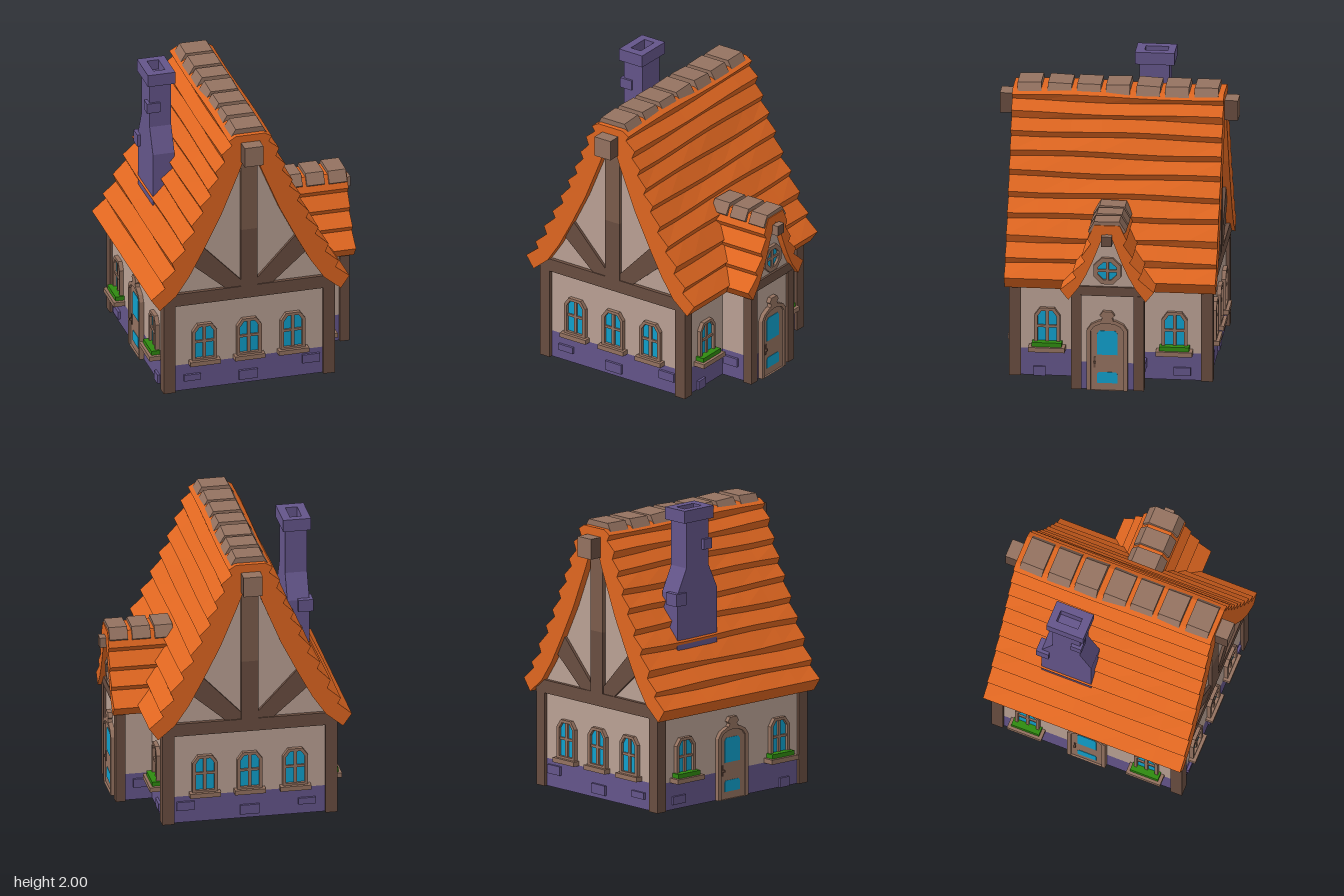
import * as THREE from 'three';

const mat = (name, color) => {
  const m = new THREE.MeshStandardMaterial({ color });
  m.name = name;
  return m;
};

export function createModel() {
  const plaster = mat('plaster', 0xbaa194), stone = mat('purple stone', 0x64558a);
  const dark = mat('dark timber', 0x694d40), mid = mat('mid timber', 0x7b5c4b);
  const wood = mat('light wood', 0x947260), tile = mat('orange tile', 0xdf6620);
  const glass = mat('blue glass', 0x10a0cc), leaf = mat('green leaves', 0x2f8a10);
  const CX = -0.105; // ridge line of the main house

  const house = new THREE.Group();
  house.name = 'cottage';

  // ---------- helpers ----------
  const group = (name, parent = house) => {
    const g = new THREE.Group();
    g.name = name;
    parent.add(g);
    return g;
  };
  const add = (name, geo, m, parent = house) => {
    const mesh = new THREE.Mesh(geo, m);
    mesh.name = name;
    parent.add(mesh);
    return mesh;
  };
  // box given by its limits on each axis
  const box = (name, [x0, x1], [y0, y1], [z0, z1], m, parent) => {
    const b = add(name, new THREE.BoxGeometry(x1 - x0, y1 - y0, z1 - z0), m, parent);
    b.position.set((x0 + x1) / 2, (y0 + y1) / 2, (z0 + z1) / 2);
    return b;
  };
  const poly = pts => new THREE.Shape(pts.map(p => new THREE.Vector2(p[0], p[1])));
  const extrude = (shape, depth, steps = 1) =>
    new THREE.ExtrudeGeometry(shape, { depth, steps, bevelEnabled: false, curveSegments: 6 });
  const mirror = half => [...half, ...half.slice().reverse().map(([x, y]) => [-x, y])];
  const rect = (x0, x1, y0, y1) => [[x0, y0], [x1, y0], [x1, y1], [x0, y1]];
  // hollow rectangular wall ring, open above and below
  const ring = (name, x0, x1, zHalf, y0, y1, t, m, parent) => {
    const s = poly(rect(x0, x1, -zHalf, zHalf));
    s.holes.push(poly(rect(x0 + t, x1 - t, -zHalf + t, zHalf - t)));
    const w = add(name, extrude(s, y1 - y0).rotateX(-Math.PI / 2), m, parent);
    w.position.y = y0;
  };
  // stepped roof section: tips of the tile courses outside, smooth curve inside
  const roofShape = (tips, top, inner, dx, dy) => {
    const half = [inner[0], tips[0]];
    tips.slice(1).forEach(([d, y]) => half.push([d - dx, y - dy], [d, y]));
    half.push(top);
    const curve = inner.slice(1);
    return poly([...mirror(half), ...curve.map(([x, y]) => [-x, y]),
      ...curve.slice(0, -1).reverse()]);
  };

  // ---------- walls ----------
  const walls = group('walls');
  ring('stoneBase', -0.68, 0.47, 0.66, 0, 0.19, 0.03, stone, walls);
  ring('plasterWall', -0.68, 0.47, 0.66, 0.19, 0.7, 0.03, plaster, walls);
  ring('porchBase', 0.45, 0.705, 0.225, 0, 0.19, 0.02, stone, walls);
  ring('porchWall', 0.45, 0.705, 0.225, 0.19, 0.7, 0.02, plaster, walls);
  box('ceiling', [-0.66, 0.45], [0.645, 0.66], [-0.64, 0.64], dark, walls);

  // ---------- timber frame ----------
  const frame = group('timberFrame');
  for (const z of [-1, 1]) {
    const zr = [Math.min(z * 0.605, z * 0.685), Math.max(z * 0.605, z * 0.685)];
    box('cornerPost', [-0.7, -0.62], [0, 0.66], zr, dark, frame);
    box('cornerPost', [0.41, 0.49], [0, 0.66], zr, dark, frame);
    const pz = [Math.min(z * 0.175, z * 0.245), Math.max(z * 0.175, z * 0.245)];
    box('porchPost', [0.655, 0.722], [0, 0.67], pz, dark, frame);
  }
  box('porchBeam', [0.66, 0.72], [0.665, 0.73], [-0.24, 0.24], dark, frame);

  // ---------- main roof ----------
  const inner = [[0.63, 0.635], [0.515, 0.73], [0.42, 0.875], [0.325, 1.04], [0.205, 1.29],
    [0.085, 1.58], [0.04, 1.69], [0, 1.72]];
  const tips = [[0.69, 0.72], [0.615, 0.845], [0.545, 0.97], [0.475, 1.11], [0.41, 1.24],
    [0.35, 1.365], [0.295, 1.49], [0.245, 1.615], [0.2, 1.73], [0.15, 1.835]];
  const roofGeo = extrude(roofShape(tips, [0.1, 1.865], inner, 0.022, 0.045), 1.42, 7);
  roofGeo.translate(CX, 0, -0.71);
  // gentle sag along every course, none at the eaves
  const p = roofGeo.attributes.position;
  for (let i = 0; i < p.count; i++) {
    const y = p.getY(i), z = p.getZ(i);
    if (y > 0.78) p.setY(i, y + 0.007 * Math.sin(z * 5 + Math.round(y * 8) * 2.1));
  }
  roofGeo.computeVertexNormals();
  add('mainRoof', roofGeo, tile);

  // ---------- gables: plaster, beam, post and braces, front and back ----------
  for (const s of [0, 1]) {
    const g = group(s ? 'backGable' : 'frontGable');
    g.position.x = CX;
    g.rotation.y = s * Math.PI;
    const wide = inner.slice(1).map(([d, y]) => [d ? d + 0.02 : 0, y]);
    add('gablePlaster', extrude(poly([[-0.55, 0.66], [0.55, 0.66], ...wide,
      ...wide.slice(0, -1).reverse().map(([x, y]) => [-x, y])]), 0.03), plaster, g).position.z = 0.63;
    box('tieBeam', [-0.595, 0.595], [0.64, 0.73], [0.62, 0.687], dark, g);
    box('lowerKingPost', [-0.058, 0.058], [0.73, 1.15], [0.64, 0.687], dark, g);
    box('upperKingPost', [-0.058, 0.058], [1.15, 1.69], [0.64, 0.687], mid, g);
    for (const m of [-1, 1]) {
      const pts = [[0.325, 1.06], [0.39, 0.925], [0.165, 0.73], [0.055, 0.73], [0.055, 0.775]];
      add('brace', extrude(poly(pts.map(([x, y]) => [x * m, y])), 0.04), dark, g).position.z = 0.64;
    }
  }
  box('ridgeBeam', [CX - 0.065, CX + 0.065], [1.67, 1.81], [-0.8, 0.8],
    [dark, dark, wood, dark, wood, wood]);

  // ---------- ridge caps ----------
  const capGeo = (w, t, h, len) => extrude(poly([[w - 0.03, 0], [w, 0.025], [t, h], [-t, h],
    [-w, 0.025], [-w + 0.03, 0]]), len).translate(0, 0, -len / 2);
  const caps = group('ridgeCaps');
  for (let i = -3; i <= 3; i++) {
    const c = add('ridgeCap', capGeo(0.138, 0.093, 0.1, 0.16), wood, caps);
    c.position.set(CX, 1.803, i * 0.198);
    c.rotation.set(0.05 * Math.sin(i * 2.3 + 1), 0.04 * Math.sin(i * 3.1), 0);
  }

  // ---------- porch roof ----------
  const pInner = [[0.26, 0.64], [0.19, 0.73], [0.14, 0.82], [0.095, 0.92], [0.03, 1.09], [0, 1.12]];
  const pTips = [[0.315, 0.71], [0.232, 0.835], [0.172, 0.95], [0.132, 1.075]];
  const pRoof = extrude(roofShape(pTips, [0.085, 1.175], pInner, 0.022, 0.035), 1);
  pRoof.rotateY(Math.PI / 2);
  // back end slants to follow the main slope
  const q = pRoof.attributes.position;
  for (let i = 0; i < q.count; i++)
    q.setX(i, q.getX(i) > 0.5 ? 0.747 : 0.28 + (1.175 - q.getY(i)) * 0.44);
  pRoof.computeVertexNormals();
  add('porchRoof', pRoof, tile);
  const pg = group('porchGable');
  pg.rotation.y = Math.PI / 2;
  const pWide = pInner.slice(1).map(([d, y]) => [d ? d + 0.015 : 0, y]);
  add('porchGablePlaster', extrude(poly([[-0.21, 0.68], [0.21, 0.68], ...pWide,
    ...pWide.slice(0, -1).reverse().map(([x, y]) => [-x, y])]), 0.03), plaster, pg).position.z = 0.675;
  box('porchRidgeBeam', [0.5, 0.79], [1.04, 1.11], [-0.035, 0.035],
    [dark, dark, wood, dark, wood, wood]);
  [0.368, 0.522, 0.677].forEach((x, i) => {
    const c = add('porchRidgeCap', capGeo(0.128, 0.085, 0.098, 0.125), wood, caps);
    c.position.set(x, 1.103, 0);
    c.rotation.set(0, Math.PI / 2, 0.03 * (i - 1));
  });

  // octagonal gable window
  const oct = r => poly(Array.from({ length: 8 }, (_, i) => {
    const a = (i + 0.5) * Math.PI / 4;
    return [r * Math.cos(a), r * Math.sin(a)];
  }));
  const rw = group('roundWindow', pg);
  rw.position.set(0, 0.845, 0.7);
  const octFrame = oct(0.1);
  octFrame.holes.push(oct(0.068));
  add('roundFrame', extrude(octFrame, 0.028), wood, rw);
  add('roundGlass', extrude(oct(0.072), 0.004), glass, rw).position.z = 0.006;
  box('mullion', [-0.009, 0.009], [-0.068, 0.068], [0.005, 0.02], wood, rw);
  box('mullion', [-0.068, 0.068], [-0.009, 0.009], [0.005, 0.02], wood, rw);

  // ---------- windows and doors, built facing +z then turned onto a wall ----------
  const place = (g, x, z, a) => { g.position.set(x, 0, z); g.rotation.y = a; };
  const arched = (w, y0, y1, c) => poly([[-w, y0], [w, y0], [w, y1 - c * 1.4], [w - c, y1],
    [c - w, y1], [-w, y1 - c * 1.4]]);
  const makeWindow = (x, z, a, box_) => {
    const g = group('window');
    const f = arched(0.086, 0.215, 0.485, 0.037);
    f.holes.push(arched(0.064, 0.235, 0.465, 0.027));
    add('windowFrame', extrude(f, 0.028), wood, g);
    add('windowGlass', extrude(arched(0.066, 0.23, 0.467, 0.027), 0.004), glass, g).position.z = 0.004;
    box('mullion', [-0.011, 0.011], [0.235, 0.465], [0.003, 0.02], wood, g);
    box('mullion', [-0.064, 0.064], [0.346, 0.363], [0.003, 0.02], wood, g);
    const w = box_ ? 0.123 : 0.105;
    box('sill', [-w, w], [0.188, 0.22], [-0.005, box_ ? 0.08 : 0.05], wood, g);
    if (box_) box('flowerBox', [-0.1, 0.1], [0.22, 0.25], [0, 0.06], leaf, g);
    place(g, x, z, a);
  };
  for (const x of [-0.415, CX, 0.2]) {
    makeWindow(x, 0.66, 0, false);
    makeWindow(x, -0.66, Math.PI, false);
  }
  for (const z of [-0.428, 0.428]) {
    makeWindow(0.47, z, Math.PI / 2, true);
    makeWindow(-0.68, z, -Math.PI / 2, true);
  }

  const doorShape = (w, side, top) => {
    const s = new THREE.Shape();
    s.moveTo(-w, 0);
    s.lineTo(w, 0);
    s.lineTo(w, side);
    s.bezierCurveTo(w * 0.8, top, -w * 0.8, top, -w, side);
    return s;
  };
  const makeDoor = (x, a) => {
    const g = group('door');
    const f = doorShape(0.137, 0.425, 0.525);
    f.holes.push(doorShape(0.111, 0.42, 0.495));
    add('doorFrame', extrude(f, 0.03), wood, g);
    add('doorLeaf', extrude(doorShape(0.113, 0.42, 0.497), 0.016), wood, g);
    const pane = arched(0.068, 0.25, 0.42, 0.014);
    add('upperPane', extrude(pane, 0.005), glass, g).position.z = 0.014;
    add('lowerPane', extrude(arched(0.068, 0.05, 0.127, 0.01), 0.005), glass, g).position.z = 0.014;
    add('doorCrest', extrude(poly([[-0.045, 0.485], [0.045, 0.485], [0.033, 0.515], [0.05, 0.53],
      [0.03, 0.56], [-0.03, 0.56], [-0.05, 0.53], [-0.033, 0.515]]), 0.03), wood, g);
    box('handlePlate', [-0.092, -0.078], [0.16, 0.235], [0.014, 0.022], dark, g);
    box('handle', [-0.092, -0.078], [0.19, 0.204], [0.02, 0.035], dark, g);
    place(g, x, 0, a);
  };
  makeDoor(0.705, Math.PI / 2);
  makeDoor(-0.68, -Math.PI / 2);

  // ---------- raised stones on the base ----------
  const stones = group('raisedStones');
  const blocks = [[-0.497, 0.07, 0.115, 0.118], [-0.107, 0.03, 0.097, 0.132], [0.33, 0.092, 0.153, 0.122]];
  for (const s of [-1, 1]) {
    for (const [x, y0, y1, w] of blocks)
      box('stone', [x - w / 2, x + w / 2], [y0, y1], [s * 0.665 - 0.012, s * 0.665 + 0.012], stone, stones);
    box('stone', [0.485, 0.6], [0.092, 0.153], [s * 0.23 - 0.012, s * 0.23 + 0.012], stone, stones);
    const wx = s > 0 ? 0.475 : -0.685;
    box('stone', [wx - 0.012, wx + 0.012], [0, 0.065], [0.44, 0.52], stone, stones);
    box('stone', [wx - 0.012, wx + 0.012], [0.035, 0.09], [-0.535, -0.42], stone, stones);
  }

  // ---------- chimney ----------
  const chimney = group('chimney');
  const stack = poly(mirror([[0.18, 0.93], [0.18, 1.43], [0.1, 1.6], [0.1, 1.93]]));
  const shaft = add('chimneyShaft', extrude(stack, 0.15).rotateY(Math.PI / 2), stone, chimney);
  shaft.position.set(-0.57, 0, -0.2);
  const rim = poly(rect(-0.59, -0.4, 0.07, 0.335));
  rim.holes.push(poly(rect(-0.535, -0.455, 0.13, 0.285)));
  add('chimneyCap', extrude(rim, 0.085).rotateX(-Math.PI / 2), stone, chimney).position.y = 1.915;
  box('chimneyStone', [-0.592, -0.5], [1.71, 1.78], [-0.16, -0.085], stone, chimney);
  box('chimneyStone', [-0.592, -0.49], [1.355, 1.44], [-0.41, -0.32], stone, chimney);

  return house;
}
